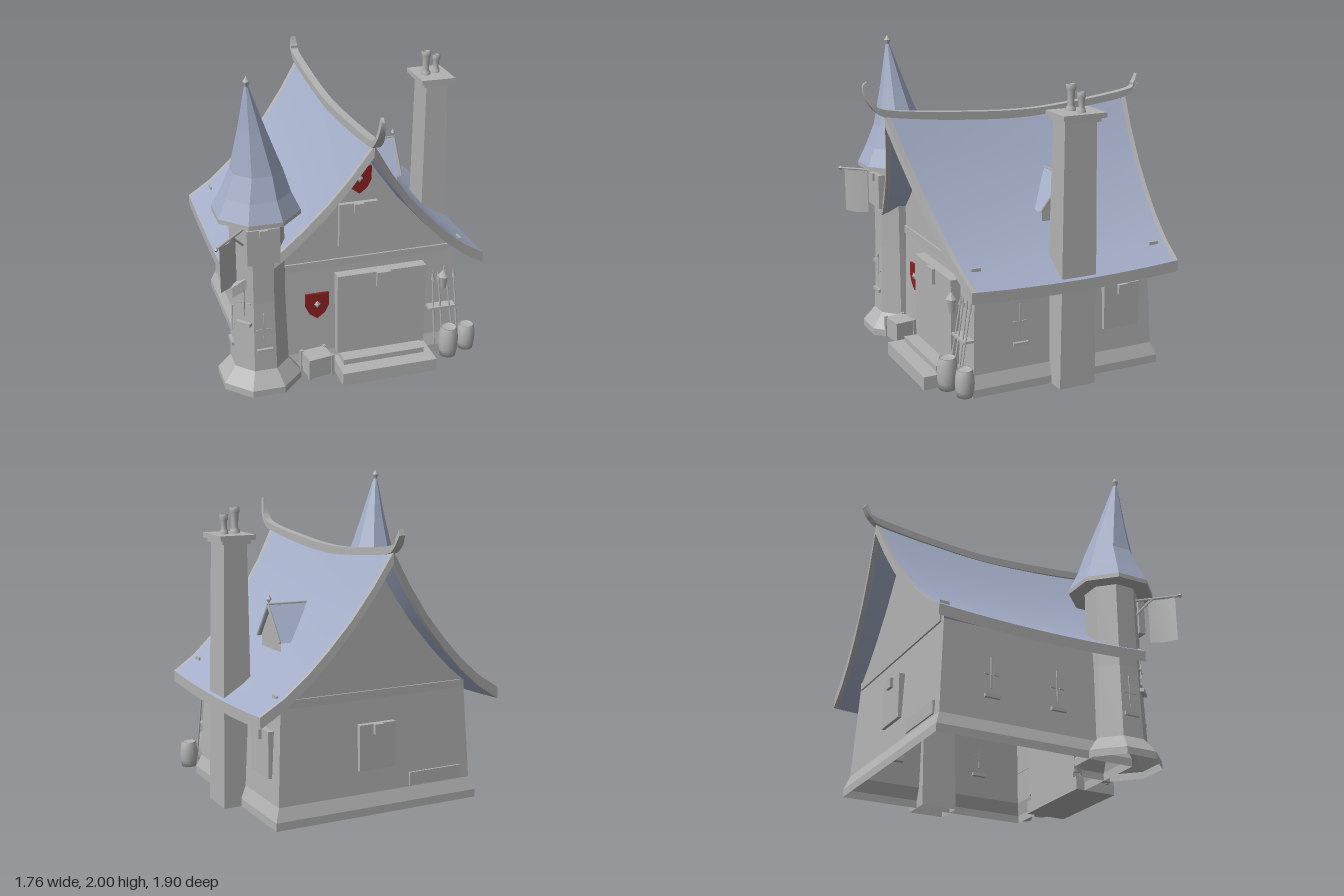
import * as THREE from 'three';

const mat = (name, color) => {
  const m = new THREE.MeshStandardMaterial({ color, side: THREE.DoubleSide });
  m.name = name;
  return m;
};

export function createModel() {
  const root = new THREE.Group();
  root.name = 'cottage';
  const stone = mat('grey stone', 0xb2b2b2);
  const slate = mat('blue slate', 0xa3adc7);
  const red = mat('shield red', 0x8c2020);

  const add = (name, geo, m = stone, parent = root) => {
    const mesh = new THREE.Mesh(geo, m);
    mesh.name = name;
    parent.add(mesh);
    return mesh;
  };
  // box given by its min and max corners
  const box = (name, x0, x1, y0, y1, z0, z1, m = stone, parent = root) =>
    add(name, new THREE.BoxGeometry(x1 - x0, y1 - y0, z1 - z0)
      .translate((x0 + x1) / 2, (y0 + y1) / 2, (z0 + z1) / 2), m, parent);
  // round bar between two points
  const rod = (name, a, b, r0, r1 = r0, sides = 6) => {
    const A = new THREE.Vector3(...a), B = new THREE.Vector3(...b), d = B.clone().sub(A);
    const mesh = add(name, new THREE.CylinderGeometry(r1, r0, d.length(), sides));
    mesh.position.copy(A).add(B).multiplyScalar(0.5);
    mesh.quaternion.setFromUnitVectors(new THREE.Vector3(0, 1, 0), d.normalize());
    return mesh;
  };
  // surface through rows of points; flat gives faceted normals
  const sheet = (rows, flat = false) => {
    const pos = rows.flat(2), n = rows[0].length, idx = [];
    for (let i = 0; i < rows.length - 1; i++)
      for (let j = 0; j < n - 1; j++) {
        const a = i * n + j, b = a + n;
        idx.push(a, a + 1, b, b, a + 1, b + 1);
      }
    let g = new THREE.BufferGeometry();
    g.setAttribute('position', new THREE.Float32BufferAttribute(pos, 3));
    g.setIndex(idx);
    if (flat) g = g.toNonIndexed();
    g.computeVertexNormals();
    return g;
  };
  const CX = 0.063;

  // Walls: open shell with a splayed plinth; rows are [y, half width, back, front]
  const wallRow = ([y, w, b, f]) => [[CX - w, y, f], [CX + w, y, f], [CX + w, y, b], [CX - w, y, b], [CX - w, y, f]];
  add('walls', sheet([[0, 0.69, -0.72, 0.56], [0.05, 0.69, -0.72, 0.56], [0.13, 0.66, -0.69, 0.54], [0.72, 0.63, -0.66, 0.52]].map(wallRow), true));

  // Main roof: flared profile [distance from ridge, height], sagging along its length
  const prof = [[0, 1.61], [0.12, 1.41], [0.25, 1.225], [0.39, 1.06], [0.52, 0.925], [0.66, 0.805], [0.81, 0.71]];
  const T = 0.07;
  const roofPt = (side, k, v, drop) => {
    const [d, y] = prof[k], t = (y - 0.71) / 0.9;
    const front = 0.615 + 0.205 * t, back = -0.775 - 0.085 * t;
    const sag = (0.025 + 0.03 * t) * (1 - (2 * v - 1) ** 2);
    return [CX + side * d, y - sag - drop, front + (back - front) * v];
  };
  const ks = prof.map((_, k) => k);
  const vs = (a, b, n) => Array.from({ length: n + 1 }, (_, i) => a + (b - a) * i / n);
  for (const s of [-1, 1]) {
    const surf = (a, b, n, drop) => sheet(ks.map(k => vs(a, b, n).map(v => roofPt(s, k, v, drop))));
    add('roofSlope', surf(0.02, 0.98, 12, 0), slate);
    add('roofUnderside', surf(0.02, 0.98, 12, T), slate);
    for (const [a, b, e] of [[0, 0.02, 0], [0.98, 1, 1]]) {
      add('vergeTop', surf(a, b, 1, 0));
      add('vergeBottom', surf(a, b, 1, T));
      add('bargeboard', sheet(ks.map(k => [roofPt(s, k, e, 0), roofPt(s, k, e, T)])));
    }
    add('eaveBoard', sheet([0, T].map(d => vs(0, 1, 12).map(v => roofPt(s, 6, v, d)))));
    for (const z of [0.53, -0.68])
      box('roofHook', CX + s * 0.673 - 0.006, CX + s * 0.673 + 0.006, 0.75, 0.805, z - 0.03, z + 0.03);
  }

  // Gables filling the roof ends, with a beam across each
  const under = prof.slice(0, 6).map(([d, y]) => [Math.min(d, 0.63), y - 0.05]);
  const gable = new THREE.Shape([...under.slice().reverse().map(([d, y]) => [CX + d, y]), ...under.slice(1).map(([d, y]) => [CX - d, y]),
    [CX - 0.63, 0.68], [CX + 0.63, 0.68]].map(p => new THREE.Vector2(...p)));
  for (const [z, dz] of [[0.52, 1], [-0.66, -1]]) {
    add('gable', new THREE.ShapeGeometry(gable).translate(0, 0, z));
    box('gableBeam', CX - 0.6, CX + 0.6, 0.71, 0.76, z - 0.012, z + 0.012);
  }

  // Ridge beam with upswept horns
  const ridge = new THREE.Shape();
  ridge.moveTo(0.93, 1.82);
  ridge.splineThru([[0.955, 1.79], [0.93, 1.7], [0.86, 1.62], [0.78, 1.595], [0.4, 1.55], [-0.05, 1.525], [-0.4, 1.545], [-0.8, 1.59], [-0.9, 1.635], [-0.95, 1.71]].map(p => new THREE.Vector2(...p)));
  ridge.lineTo(-0.935, 1.745);
  ridge.splineThru([[-0.91, 1.69], [-0.85, 1.645], [-0.4, 1.59], [-0.05, 1.575], [0.4, 1.6], [0.79, 1.64], [0.89, 1.69], [0.93, 1.82]].map(p => new THREE.Vector2(...p)));
  const ridgeGeo = new THREE.ExtrudeGeometry(ridge, { depth: 0.05, bevelEnabled: false, curveSegments: 24 })
    .translate(0, 0, -0.025).rotateY(-Math.PI / 2);
  const rp = ridgeGeo.attributes.position;
  for (let i = 0; i < rp.count; i++)
    rp.setX(i, CX + rp.getX(i) * (1 - 0.65 * Math.max(0, Math.min(1, (rp.getY(i) - 1.66) / 0.15))));
  ridgeGeo.computeVertexNormals();
  add('ridgeBeam', ridgeGeo);

  // Chimney with cap and two pots
  const stack = ([y, x0, x1, z0, z1]) => [[x0, y, z1], [x1, y, z1], [x1, y, z0], [x0, y, z0], [x0, y, z1]];
  add('chimney', sheet([[0, 0.66, 0.865, -0.205, 0.035], [0.7, 0.68, 0.855, -0.205, 0.025], [1.64, 0.69, 0.835, -0.2, 0.01]].map(stack), true));
  box('chimneyCollar', 0.672, 0.853, 1.625, 1.652, -0.22, 0.02);
  box('chimneyCap', 0.65, 0.875, 1.65, 1.68, -0.245, 0.04);
  for (const [x, z, h, r] of [[0.72, -0.09, 0.155, 0.031], [0.8, -0.115, 0.118, 0.026]])
    add('chimneyPot', new THREE.LatheGeometry([[r, 0], [r * 0.95, 0.02], [r * 0.65, 0.03], [r * 0.75, h - 0.04], [r, h - 0.03], [r, h], [r * 0.7, h], [r * 0.6, h - 0.04], [0, h - 0.04]]
      .map(p => new THREE.Vector2(...p)), 10).translate(x, 1.68, z));

  // Corner tower: eight flat sides, leaning flared cone
  const octRow = ([y, r, x = -0.565, z = 0.505]) => Array.from({ length: 9 }, (_, i) => {
    const a = Math.PI / 8 + i * Math.PI / 4;
    return [x + Math.sin(a) * r * 1.082, y, z + Math.cos(a) * r * 1.082];
  });
  add('towerShaft', sheet([[0, 0.245], [0.045, 0.245], [0.14, 0.17], [0.6, 0.155], [1.15, 0.155]].map(octRow), true));
  add('towerEaves', sheet([[1.14, 0.15], [1.14, 0.248], [1.168, 0.248], [1.168, 0.235]].map(octRow), true));
  add('towerRoof', sheet([[1.168, 0.247], [1.28, 0.196], [1.42, 0.147, -0.558], [1.67, 0.078, -0.583, 0.525], [1.94, 0.012, -0.612, 0.545]].map(octRow), true), slate);
  add('towerFinial', sheet([[1.925, 0.012], [1.94, 0.01], [1.968, 0.02], [2, 0.001]].map(([y, r]) => octRow([y, r, -0.612, 0.545])), true));
  box('towerShutter', -0.665, -0.465, 0.875, 1.1, 0.64, 0.685);
  box('towerShutterLatch', -0.59, -0.54, 1.05, 1.1, 0.68, 0.7);

  // Banner on a diagonal pole
  rod('bannerPole', [-0.62, 1.085, 0.56], [-0.875, 1.08, 0.815], 0.008);
  rod('bannerBrace', [-0.67, 0.98, 0.61], [-0.75, 1.08, 0.69], 0.007);
  add('bannerTip', new THREE.OctahedronGeometry(0.017).translate(-0.872, 1.08, 0.812));
  add('banner', sheet([1.075, 0.93, 0.785].map(y => [[-0.85, y, 0.79], [-0.79, y - 0.005, 0.74], [-0.73, y, 0.67]])));

  // Door, steps, frame
  box('lowerStep', -0.1, 0.52, 0, 0.085, 0.5, 0.78);
  box('upperStep', -0.065, 0.47, 0.085, 0.12, 0.5, 0.68);
  box('door', -0.08, 0.5, 0.12, 0.665, 0.5, 0.59);
  box('doorKeystone', 0.17, 0.26, 0.565, 0.665, 0.58, 0.61);

  // Shuttered windows: built facing +z, then turned onto a wall
  const turned = (name, x, y, z, ry) => {
    const g = new THREE.Group();
    g.name = name;
    g.position.set(x, y, z);
    g.rotation.y = ry;
    root.add(g);
    return g;
  };
  for (const [x, y, z, ry] of [[0.063, 0.99, 0.52, 0], [0.07, 0.42, -0.675, Math.PI], [0.708, 0.42, -0.46, Math.PI / 2]]) {
    const g = turned('window', x, y, z, ry);
    box('shutter', -0.123, 0.123, -0.142, 0.142, -0.03, 0.03, stone, g);
    box('shutterLatch', -0.031, 0.031, 0.08, 0.142, 0.03, 0.05, stone, g);
  }
  box('backPatch', -0.53, -0.16, 0.14, 0.22, -0.7, -0.685);

  // Cross-shaped slits with sills
  for (const [x, y, z, ry] of [[0.71, 0.42, 0.23, Math.PI / 2], [-0.588, 0.42, -0.36, -Math.PI / 2], [-0.588, 0.42, 0.08, -Math.PI / 2],
    [-0.57, 0.42, 0.666, 0], [-0.68, 0.6, 0.62, -Math.PI / 4], [-0.726, 0.42, 0.5, -Math.PI / 2]]) {
    const g = turned('arrowSlit', x, y, z, ry);
    box('slit', -0.004, 0.004, -0.09, 0.11, -0.004, 0.004, stone, g);
    for (const s of [-1, 1]) box('slitArm', s * 0.03 - 0.016, s * 0.03 + 0.016, -0.004, 0.004, -0.004, 0.004, stone, g);
    box('sill', -0.05, 0.05, -0.15, -0.128, -0.02, 0.022, stone, g);
  }

  // Shields with a small boss
  const shield = new THREE.Shape([[-0.075, 0.087], [0.075, 0.087], [0.075, 0], [0.05, -0.05], [0, -0.088], [-0.05, -0.05], [-0.075, 0]].map(p => new THREE.Vector2(...p)));
  for (const [x, y, z] of [[-0.2, 0.46, 0.535], [0.068, 1.278, 0.53]]) {
    add('shield', new THREE.ExtrudeGeometry(shield, { depth: 0.015, bevelEnabled: false }).translate(x, y, z), red);
    add('shieldBoss', new THREE.OctahedronGeometry(0.024).scale(0.9, 1.1, 0.6).translate(x, y + 0.012, z + 0.016));
  }

  // Dormer facing +x
  for (const s of [-1, 1])
    add('dormerRoof', sheet([[[0.265, 1.237, -0.155], [0.54, 1.24, -0.155]], [[0.45, 1.022, -0.155 + s * 0.16], [0.54, 1.022, -0.155 + s * 0.16]]]), slate);
  const dormer = new THREE.Shape([[-0.14, 0.92], [0.14, 0.92], [0.14, 1.04], [0, 1.225], [-0.14, 1.04]].map(p => new THREE.Vector2(...p)));
  add('dormerWall', new THREE.ShapeGeometry(dormer).rotateY(Math.PI / 2).translate(0.515, 0, -0.155));
  for (const s of [-1, 1])
    rod('dormerTrim', [0.535, 1.235, -0.155], [0.535, 1.025, -0.155 + s * 0.16], 0.01, 0.01, 4);
  rod('dormerRidge', [0.27, 1.237, -0.155], [0.545, 1.24, -0.155], 0.008, 0.008, 4);
  add('dormerFinial', new THREE.OctahedronGeometry(0.018).scale(1, 1.6, 1).translate(0.53, 1.272, -0.155));

  // Barrels
  for (const [x, z, h, r] of [[0.637, 0.675, 0.2, 0.064], [0.78, 0.625, 0.168, 0.059]])
    add('barrel', new THREE.LatheGeometry([[0, 0], [0.8, 0], [0.95, 0.25], [1, 0.5], [0.95, 0.75], [0.8, 1], [0.72, 1], [0.7, 0.95], [0, 0.95]]
      .map(([a, b]) => new THREE.Vector2(a * r, b * h)), 14).translate(x, 0.042, z));

  // Crate
  const crate = turned('crate', -0.23, 0.115, 0.645, 0.15);
  box('crateBody', -0.078, 0.078, -0.065, 0.065, -0.065, 0.065, stone, crate);
  for (const s of [-1, 1]) for (const t of [-1, 1])
    box('cratePost', s * 0.076 - 0.01, s * 0.076 + 0.01, -0.07, 0.07, t * 0.063 - 0.01, t * 0.063 + 0.01, stone, crate);

  // Spears on a rack
  for (const [x0, x1] of [[0.56, 0.563], [0.62, 0.6], [0.69, 0.655], [0.72, 0.705]]) {
    rod('spear', [x0, 0.1, 0.63], [x1, 0.54, 0.555], 0.006);
    rod('spearHead', [x1, 0.53, 0.557], [x1 - 0.002, 0.59, 0.547], 0.013, 0.001, 4);
  }
  box('rackBar', 0.53, 0.71, 0.333, 0.348, 0.53, 0.6);

  // Hanging lantern
  rod('lanternHook', [0.603, 0.62, 0.63], [0.603, 0.66, 0.63], 0.005);
  rod('lanternCap', [0.603, 0.59, 0.63], [0.603, 0.63, 0.63], 0.036, 0.008);
  rod('lanternBody', [0.603, 0.51, 0.63], [0.603, 0.59, 0.63], 0.018, 0.03);
  return root;
}
